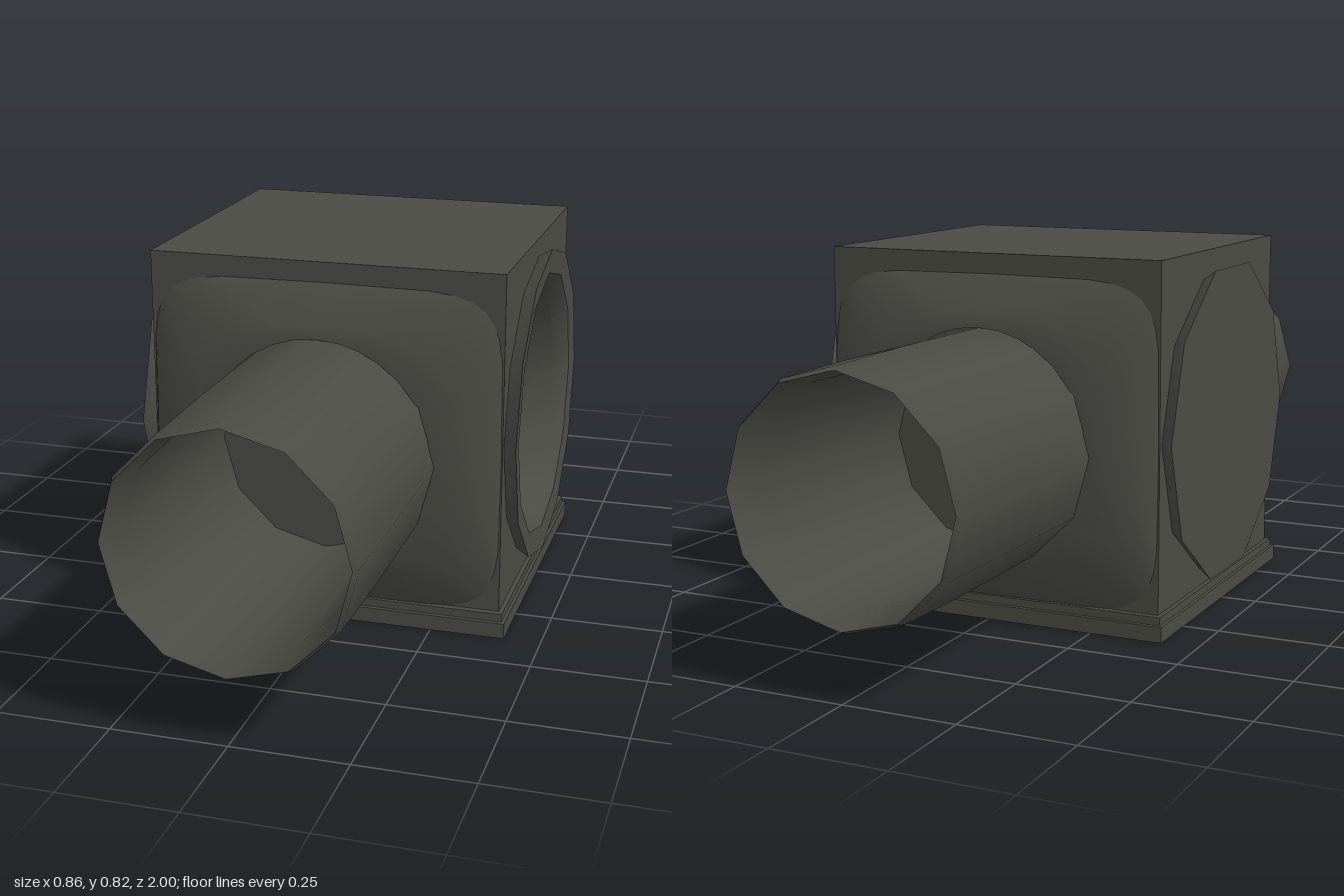
import * as THREE from 'three';
import { toCreasedNormals } from 'three/addons/utils/BufferGeometryUtils.js';

export function createModel() {
  const model = new THREE.Group();
  const darkGrey = new THREE.MeshStandardMaterial({ color: 0x4b4b45, side: THREE.DoubleSide });
  darkGrey.name = 'darkGrey';

  const add = (name, geometry, x = 0, y = 0, z = 0) => {
    const mesh = new THREE.Mesh(geometry, darkGrey);
    mesh.name = name;
    mesh.position.set(x, y, z);
    model.add(mesh);
    return mesh;
  };
  const lathe = (points, sides) => toCreasedNormals(
    new THREE.LatheGeometry(points.map(([r, h]) => new THREE.Vector2(r, h)), sides), 0.7);

  // Block: solid left part, plus a right part pierced by the round recess
  add('body', new THREE.BoxGeometry(0.62, 0.82, 0.72), -0.09, 0.41, 0);
  const wall = new THREE.Shape([[-0.36, 0], [0.36, 0], [0.36, 0.82], [-0.36, 0.82]]
    .map(([a, b]) => new THREE.Vector2(a, b)));
  const hole = new THREE.Path();
  hole.absarc(0, 0.43, 0.285, 0, Math.PI * 2, true);
  wall.holes.push(hole);
  const wallGeometry = new THREE.ExtrudeGeometry(wall, { depth: 0.18, bevelEnabled: false, curveSegments: 12 });
  wallGeometry.rotateY(Math.PI / 2);
  add('bodyRightWall', wallGeometry, 0.22, 0, 0);

  // Base lip with a sloped upper edge
  add('baseLip', new THREE.BoxGeometry(0.835, 0.035, 0.77), 0, 0.0175, 0);
  add('baseLipUpper', new THREE.BoxGeometry(0.82, 0.02, 0.75), 0, 0.043, 0);

  // Flared collar: rounded-square rings shrinking to the pipe
  const collarGeometry = () => {
    const rings = [ // z, half width, half height, squareness exponent
      [0.355, 0.4, 0.37, 0.3], [0.375, 0.39, 0.35, 0.4], [0.42, 0.335, 0.285, 0.75], [0.425, 0.255, 0.255, 1],
    ];
    const sides = 32, positions = [], index = [];
    const bend = (v, e) => Math.sign(v) * Math.abs(v) ** e;
    rings.forEach(([z, w, h, e], i) => {
      for (let j = 0; j < sides; j++) {
        const a = (j / sides) * Math.PI * 2;
        positions.push(w * bend(Math.cos(a), e), h * bend(Math.sin(a), e), z);
        if (i === rings.length - 1) continue;
        const p = i * sides + j, q = i * sides + (j + 1) % sides;
        index.push(p, q, q + sides, p, q + sides, p + sides);
      }
    });
    const geometry = new THREE.BufferGeometry();
    geometry.setAttribute('position', new THREE.Float32BufferAttribute(positions, 3));
    geometry.setIndex(index);
    geometry.computeVertexNormals();
    return geometry;
  };

  // Open pipes and collars at the front and back
  for (const [side, turn] of [['front', 0], ['back', Math.PI]]) {
    const pipe = lathe([[0.238, 0.35], [0.24, 0.9], [0.255, 1], [0.263, 0.98], [0.266, 0.75], [0.264, 0.36]], 12);
    pipe.rotateX(Math.PI / 2);
    add(side + 'Pipe', pipe, 0, 0.4, 0).rotation.y = turn;
    add(side + 'Collar', collarGeometry(), 0, 0.41, 0).rotation.y = turn;
  }

  // Flat many-sided plate on the right flank (-x)
  const plate = lathe([[0, 0.43], [0.37, 0.43], [0.345, 0.395]], 10);
  plate.rotateZ(Math.PI / 2);
  add('sidePlate', plate, 0, 0.425, 0);

  // Raised ring and sunken dish on the left flank (+x)
  const dish = lathe([[0.345, 0.395], [0.365, 0.43], [0.31, 0.425], [0.275, 0.39], [0.255, 0.26], [0, 0.25]], 12);
  dish.rotateZ(-Math.PI / 2);
  add('sideDish', dish, 0, 0.43, 0);

  // Angular pieces inside the dish
  add('dishLowerTab', new THREE.BoxGeometry(0.06, 0.19, 0.11), 0.29, 0.26, 0.01);
  add('dishSideTab', new THREE.BoxGeometry(0.06, 0.08, 0.2), 0.29, 0.385, 0.16).rotation.x = 0.35;
  const wedge = new THREE.ConeGeometry(0.13, 0.42, 5);
  wedge.scale(0.5, 1, 1);
  add('dishWedge', wedge, 0.28, 0.53, -0.06).rotation.x = -0.95;

  return model;
}
